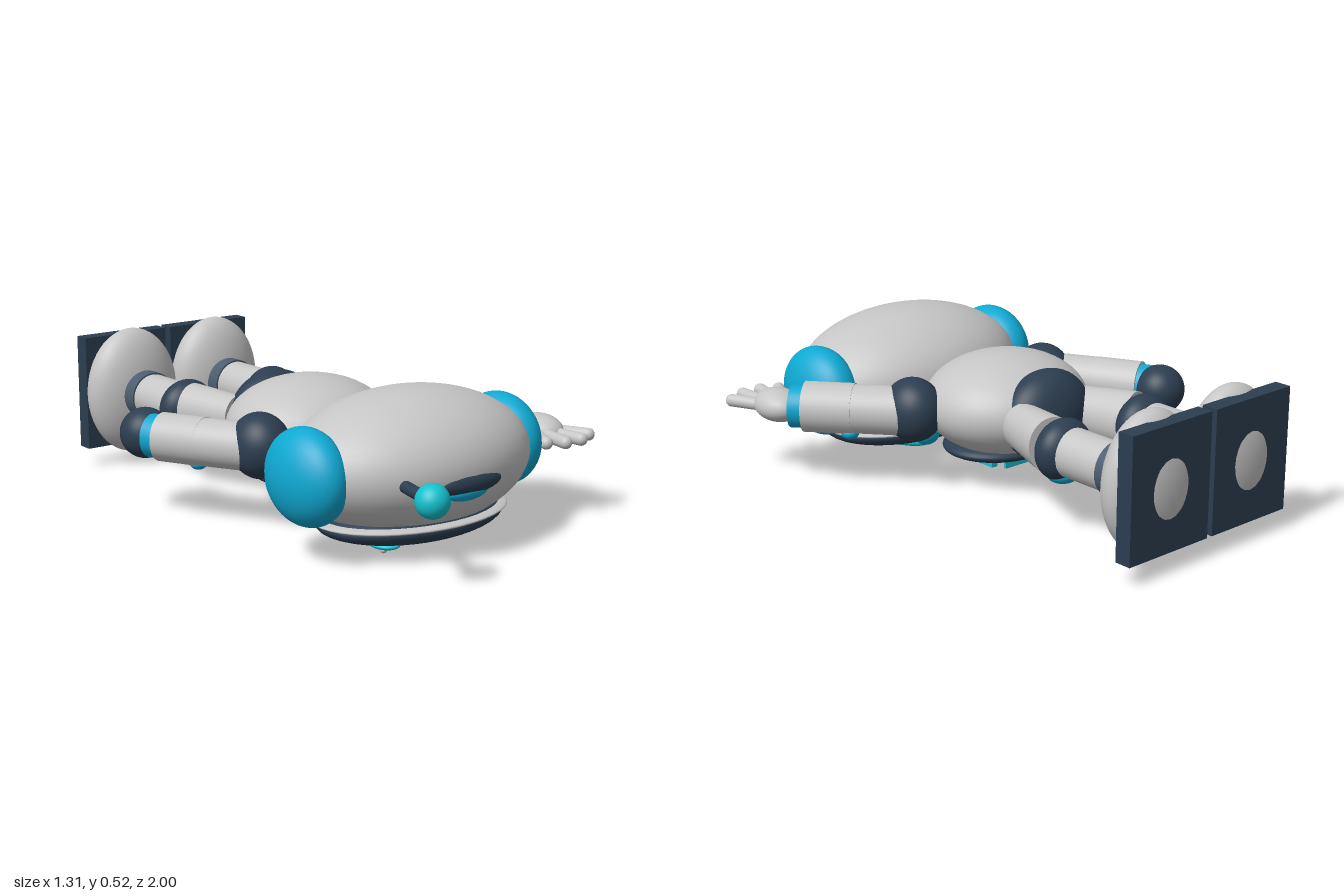
import * as THREE from 'three';

const mat = (name, color) => Object.assign(new THREE.MeshStandardMaterial({ color }), { name });

export function createModel() {
  const light = mat('light grey shell', 0xc6c6c6);
  const dark = mat('dark navy', 0x2c3e50);
  const slate = mat('slate', 0x4c5d6f);
  const blue = mat('blue', 0x0fa8d2);
  const teal = mat('teal', 0x14c2ce);

  const model = new THREE.Group();
  model.name = 'lyingRobot';
  const CX = -0.07, CY = 0.285;
  const V = (x, y, z) => new THREE.Vector3(x, y, z);

  const add = (name, geo, m, x = 0, y = 0, z = 0) => {
    const mesh = new THREE.Mesh(geo, m);
    mesh.name = name;
    mesh.position.set(x, y, z);
    model.add(mesh);
    return mesh;
  };
  // Ellipsoid at a centre with three radii
  const ball = (name, m, x, y, z, rx, ry = rx, rz = rx) => {
    const geo = new THREE.SphereGeometry(1, 40, 28);
    geo.scale(rx, ry, rz);
    return add(name, geo, m, x, y, z);
  };
  // Cylinder from a to b
  const rod = (name, m, a, b, ra, rb = ra) => {
    const mesh = add(name, new THREE.CylinderGeometry(rb, ra, a.distanceTo(b), 32), m);
    mesh.position.copy(a).lerp(b, 0.5);
    mesh.quaternion.setFromUnitVectors(V(0, 1, 0), b.clone().sub(a).normalize());
    return mesh;
  };

  // Head, crown plate and antenna
  ball('head', light, CX, 0.29, 0.51, 0.45, 0.23, 0.32);
  ball('crownPlate', dark, CX, 0.265, 0.80, 0.135, 0.04, 0.04);
  ball('crownLight', blue, -0.08, 0.237, 0.80, 0.088, 0.03, 0.033);
  rod('antennaStem', dark, V(-0.295, CY, 0.72), V(-0.345, CY, 0.92), 0.02);
  ball('antennaTip', teal, -0.346, CY, 0.945, 0.055);

  // Face, turned towards the ground
  ball('faceRim', light, CX, 0.113, 0.518, 0.367, 0.024, 0.25);
  ball('faceScreen', dark, CX, 0.1, 0.518, 0.352, 0.073, 0.236);
  const smile = new THREE.CatmullRomCurve3([-1, -0.5, 0, 0.5, 1].map(
    t => V(CX + 0.083 * t, 0.016 + 0.008 * t * t, 0.412 + 0.04 * t * t)));
  add('mouth', new THREE.TubeGeometry(smile, 24, 0.013, 12), teal);
  for (const s of [-1, 1]) ball('mouthEnd', teal, CX + s * 0.083, 0.024, 0.452, 0.013);

  // Torso, pelvis and chest panel
  ball('torso', light, CX, 0.292, -0.03, 0.297, 0.175, 0.28);
  ball('pelvis', dark, CX, 0.29, -0.235, 0.18, 0.16, 0.115);
  ball('chestPanel', dark, CX, 0.135, -0.005, 0.22, 0.045, 0.187);
  for (const i of [-1, 0, 1]) {
    add('chestBar', new THREE.BoxGeometry(0.024, 0.028, 0.11), teal, CX + i * 0.07, 0.076, 0.005);
  }
  add('chestLine', new THREE.BoxGeometry(0.16, 0.03, 0.012), teal, CX, 0.093, -0.115);

  // Mirrored parts: ears, eyes, neck pads, shoulders and legs
  for (const s of [-1, 1]) {
    const X = d => CX + s * d;
    ball('ear', blue, X(0.41), CY, 0.5, 0.105, 0.16, 0.175);
    ball('eye', teal, X(0.147), 0.033, 0.565, 0.047, 0.016, 0.06);
    ball('pupil', dark, X(0.147), 0.024, 0.565, 0.027, 0.011, 0.035);
    ball('eyeGlint', light, X(0.147) - 0.014, 0.018, 0.578, 0.012);
    ball('neckPad', blue, X(0.19), 0.165, 0.18, 0.05);
    ball('shoulder', dark, X(0.307), 0.29, 0.107, 0.1, 0.113, 0.113);

    const leg = 0.187;
    const thigh = rod('thigh', light, V(X(0.135), CY, -0.265), V(X(0.19), CY, -0.47), 0.075, 0.09);
    thigh.scale.z = 1.12;
    ball('knee', dark, X(leg), CY, -0.515, 0.11, 0.105, 0.075);
    ball('kneeCap', blue, X(leg), 0.205, -0.515, 0.06, 0.035, 0.055);
    rod('shin', light, V(X(leg), CY, -0.54), V(X(leg), CY, -0.76), 0.084);
    rod('ankle', slate, V(X(leg), CY, -0.745), V(X(leg), CY, -0.83), 0.09);
    ball('foot', light, X(leg), CY, -0.895, 0.185, 0.237, 0.105);
    add('sole', new THREE.BoxGeometry(0.352, 0.425, 0.06), dark, X(leg), CY, -0.96);
  }

  // Right arm, reaching down to a round fist
  rod('rightUpperArm', light, V(-0.39, CY, 0.11), V(-0.49, CY, -0.07), 0.082);
  rod('rightForearm', light, V(-0.485, CY, -0.065), V(-0.56, CY, -0.212), 0.084);
  ball('rightElbowPad', blue, -0.5, 0.21, -0.08, 0.03, 0.022, 0.03);
  rod('rightWristBand', blue, V(-0.555, CY, -0.2), V(-0.578, CY, -0.25), 0.075);
  ball('rightFist', dark, -0.574, CY, -0.295, 0.088);

  // Left arm, reaching up beside the head to an open hand
  rod('leftUpperArm', light, V(0.245, CY, 0.105), V(0.38, CY, 0.265), 0.086);
  rod('leftForearm', light, V(0.375, CY, 0.259), V(0.488, CY, 0.393), 0.089);
  ball('leftElbowPad', blue, 0.4, 0.205, 0.255, 0.032, 0.024, 0.032);
  rod('leftWristBand', blue, V(0.48, CY, 0.38), V(0.52, CY, 0.428), 0.075);
  ball('leftPalm', light, 0.537, 0.28, 0.485, 0.078, 0.058, 0.1);
  const fingers = [
    [0.475, 0.54, 0.43, 0.635], [0.505, 0.56, 0.486, 0.67],
    [0.55, 0.56, 0.56, 0.67], [0.585, 0.54, 0.63, 0.635],
  ];
  for (const [x0, z0, x1, z1] of fingers) {
    rod('finger', light, V(x0, 0.278, z0), V(x1, 0.278, z1), 0.022);
    ball('fingerTip', light, x1, 0.278, z1, 0.022);
  }
  return model;
}
